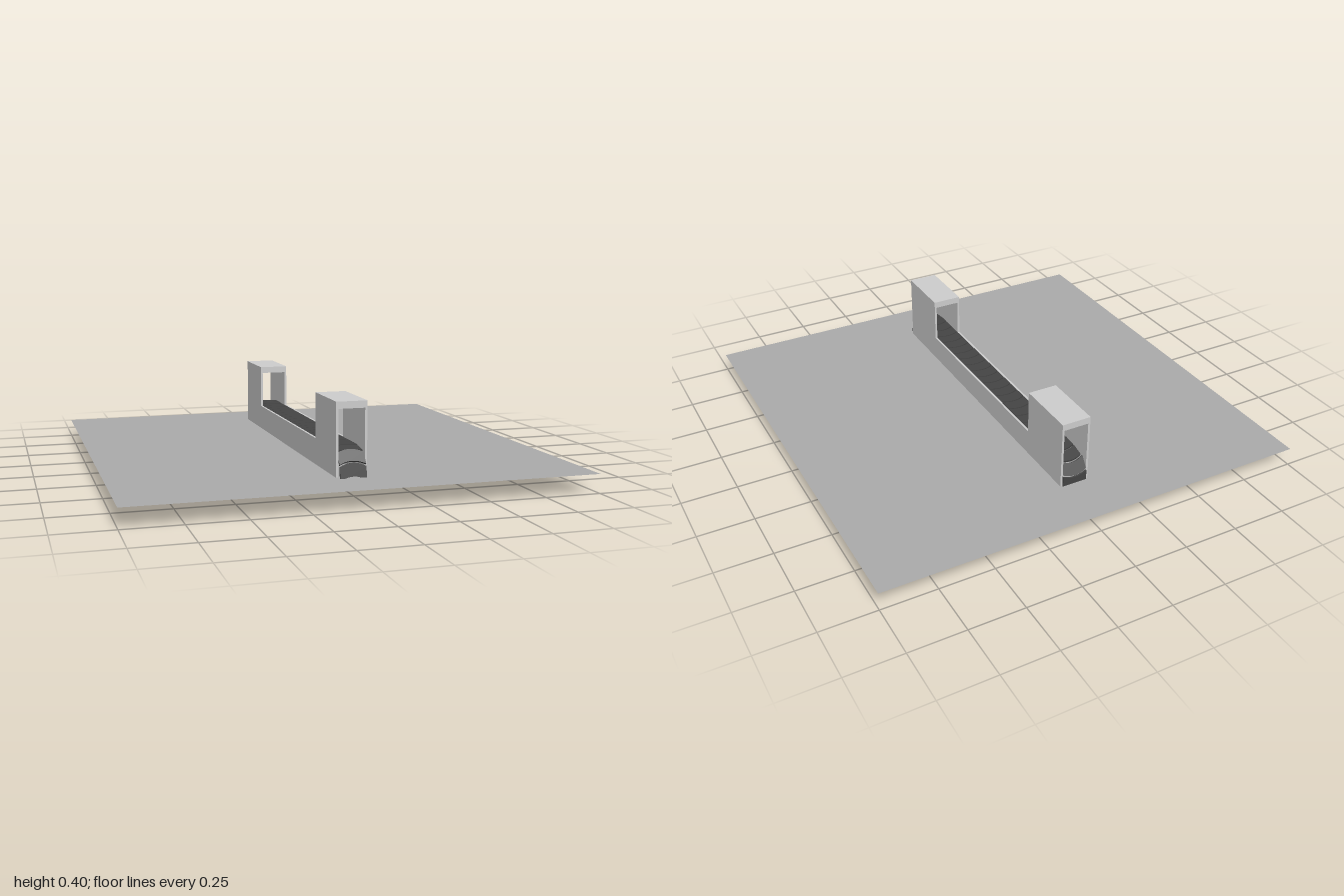
import * as THREE from 'three';

export function createModel() {
  const root = new THREE.Group();
  const grey = new THREE.MeshStandardMaterial({ color: 0xcccccc });
  const rubber = new THREE.MeshStandardMaterial({ color: 0x444444, side: THREE.DoubleSide });
  const floorMat = new THREE.MeshStandardMaterial({ color: 0xaaaaaa, side: THREE.DoubleSide });
  const cx = -0.0125; // belt centre line

  function add(parent, name, geometry, material, x = 0, y = 0, z = 0) {
    const mesh = new THREE.Mesh(geometry, material);
    mesh.name = name;
    mesh.position.set(x, y, z);
    parent.add(mesh);
    return mesh;
  }

  // Floor sheet that the conveyor is sunk into
  add(root, 'floor', new THREE.PlaneGeometry(2, 2).rotateX(-Math.PI / 2), floorMat, 0, 0.085, 0);

  // Housing: two side walls with raised ends, joined by a roof over each end
  const housing = new THREE.Group();
  housing.name = 'housing';
  root.add(housing);
  const wall = 0.01, halfWidth = 0.0675;
  const profile = new THREE.Shape([
    [-0.755, 0.08], [0.755, 0.08], [0.755, 0.4], [0.472, 0.4],
    [0.472, 0.2], [-0.472, 0.2], [-0.472, 0.4], [-0.755, 0.4],
  ].map(([z, y]) => new THREE.Vector2(z, y)));
  const wallGeo = new THREE.ExtrudeGeometry(profile, { depth: wall, bevelEnabled: false })
    .rotateY(-Math.PI / 2).translate(wall / 2, 0, 0);
  for (const side of [-1, 1]) {
    add(housing, side > 0 ? 'leftWall' : 'rightWall', wallGeo, grey,
      cx + side * (halfWidth - wall / 2), 0, 0);
    add(housing, side > 0 ? 'frontRoof' : 'backRoof',
      new THREE.BoxGeometry(2 * (halfWidth - wall), 0.03, 0.283), grey, cx, 0.385, side * 0.6135);
  }

  // Closed belt path: over the top towards the back, returning underneath
  const path = new THREE.CatmullRomCurve3([
    [0.765, 0.14], [0.735, 0.178], [0.66, 0.195], [0.5, 0.196], [0, 0.196], [-0.5, 0.196],
    [-0.66, 0.193], [-0.735, 0.165], [-0.757, 0.1], [-0.74, 0.05], [-0.7, 0.018],
    [-0.62, 0.008], [-0.4, 0.006], [0, 0.006], [0.4, 0.006], [0.6, 0.01],
    [0.7, 0.02], [0.75, 0.05], [0.777, 0.1],
  ].map(([z, y]) => new THREE.Vector3(cx, y, z)), true, 'centripetal');
  path.arcLengthDivisions = 1000;

  // One belt slat: bowed leading edge, matching hollow trailing edge
  const count = Math.round(path.getLength() / 0.0625);
  const pitch = path.getLength() / count;
  const w = 0.0575, bow = 0.016, half = pitch / 2 - 0.003, thick = 0.008;
  const slatShape = new THREE.Shape();
  slatShape.moveTo(-w, -half - bow / 2);
  slatShape.quadraticCurveTo(0, -half + bow * 1.5, w, -half - bow / 2);
  slatShape.lineTo(w, half - bow / 2);
  slatShape.quadraticCurveTo(0, half + bow * 1.5, -w, half - bow / 2);
  slatShape.closePath();
  const slatGeo = new THREE.ExtrudeGeometry(slatShape, { depth: thick, bevelEnabled: false, curveSegments: 10 })
    .translate(0, 0, -thick / 2);

  // Slats spaced evenly around the loop
  const belt = new THREE.Group();
  belt.name = 'belt';
  root.add(belt);
  const across = new THREE.Vector3(1, 0, 0);
  for (let i = 0; i < count; i++) {
    const u = (i + 0.5) / count;
    const p = path.getPointAt(u), t = path.getTangentAt(u);
    const slat = add(belt, 'beltSlat', slatGeo, rubber, p.x, p.y, p.z);
    const basis = new THREE.Matrix4().makeBasis(across, t, across.clone().cross(t));
    slat.quaternion.setFromRotationMatrix(basis);
  }
  return root;
}
